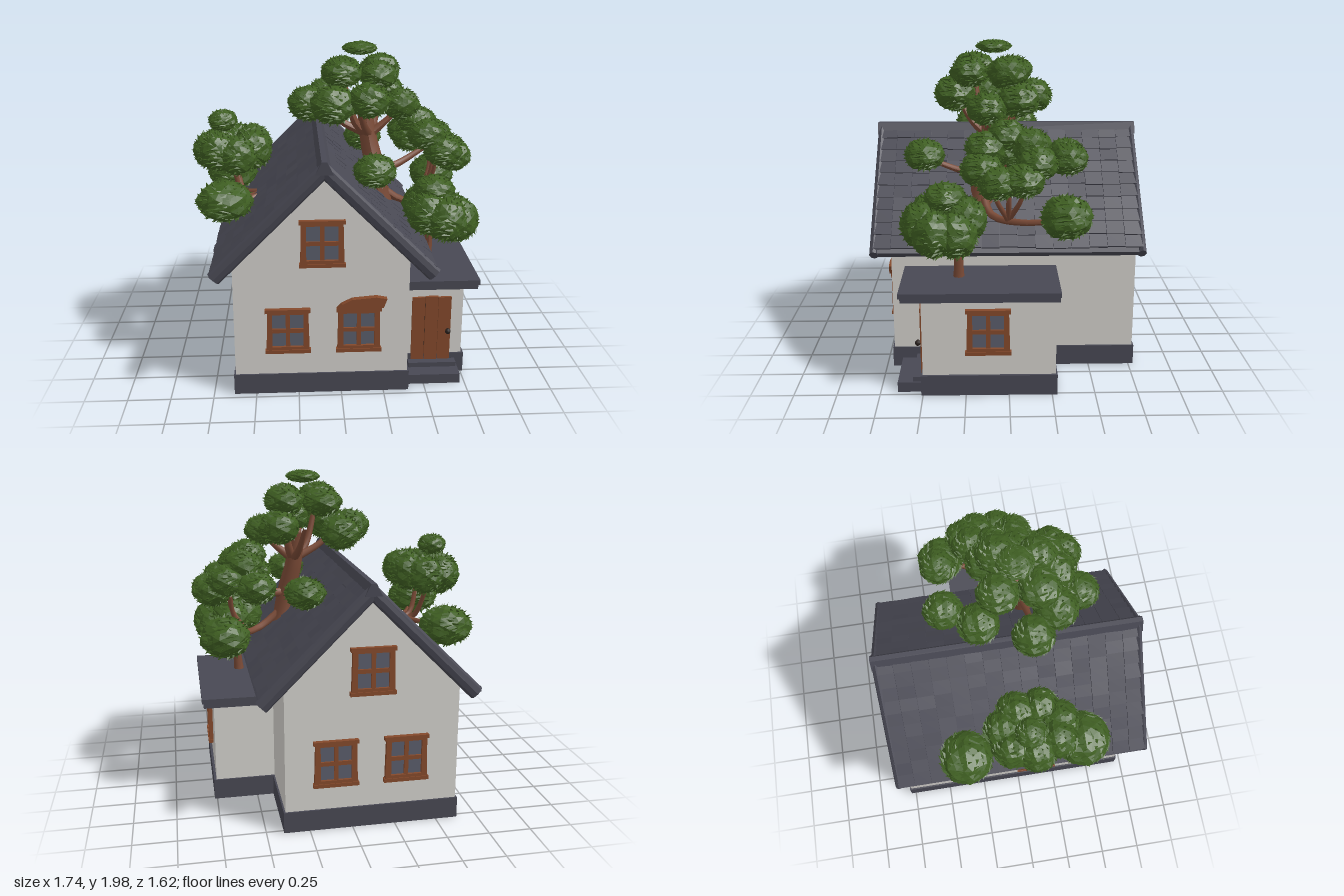
import * as THREE from 'three';
import { mergeGeometries } from 'three/addons/utils/BufferGeometryUtils.js';

let seed = 7;
const rnd = () => ((seed = (seed * 16807) % 2147483647) / 2147483647);
const jit = (a) => (rnd() - 0.5) * 2 * a;

const mat = (name, color, extra = {}) => {
  const m = new THREE.MeshStandardMaterial({ color, ...extra });
  m.name = name;
  return m;
};

export function createModel() {
  seed = 7;
  const plaster = mat('plaster', 0xd2d0cb);
  const slate = mat('slate', 0x484853, { flatShading: true });
  const wood = mat('wood', 0x84492b, { flatShading: true });
  const bark = mat('bark', 0x7a4a36);
  const glass = mat('glass', 0x5a5d6b);
  const leaf = mat('leaf', 0x3f5f22, { flatShading: true, side: THREE.DoubleSide });
  const iron = mat('iron', 0x2a211d);

  const house = new THREE.Group();
  house.name = 'cottage';

  const add = (parent, name, geo, material) => {
    const m = new THREE.Mesh(geo, material);
    m.name = name;
    parent.add(m);
    return m;
  };
  // box from its min and max corners
  const box = (parent, name, material, x0, x1, y0, y1, z0, z1) => {
    const m = add(parent, name, new THREE.BoxGeometry(x1 - x0, y1 - y0, z1 - z0), material);
    m.position.set((x0 + x1) / 2, (y0 + y1) / 2, (z0 + z1) / 2);
    return m;
  };
  const prism = (points, z0, z1) => {
    const s = new THREE.Shape(points.map(([x, y]) => new THREE.Vector2(x, y)));
    return new THREE.ExtrudeGeometry(s, { depth: z1 - z0, bevelEnabled: false }).translate(0, 0, z0);
  };

  // foundation, an L-shaped slab with a door step
  const plan = [[-0.63, -0.71], [0.4, -0.71], [0.4, -0.51], [0.765, -0.51], [0.765, 0.28], [0.4, 0.28], [0.4, 0.78], [-0.63, 0.78]];
  add(house, 'foundation', prism(plan, 0, 0.125).rotateX(-Math.PI / 2), slate);
  box(house, 'doorStep', slate, 0.41, 0.72, 0, 0.06, 0.5, 0.65);
  box(house, 'doorSill', slate, 0.42, 0.71, 0.06, 0.09, 0.5, 0.56);

  // walls
  add(house, 'mainWalls', prism([[-0.62, 0.1], [0.39, 0.1], [0.39, 0.88], [-0.1, 1.365], [-0.62, 0.85]], -0.77, 0.7), plaster);
  box(house, 'annexWalls', plaster, 0.38, 0.75, 0.1, 0.62, -0.27, 0.5);

  // main roof: chevron slab, ridge and rows of uneven shingles
  add(house, 'roofSlab', prism([[-0.7, 0.755], [-0.1, 1.345], [0.49, 0.755], [0.53, 0.79], [-0.1, 1.41], [-0.74, 0.79]], -0.8, 0.8), slate);
  add(house, 'ridge', prism([[-0.15, 1.37], [-0.05, 1.37], [-0.085, 1.44], [-0.115, 1.44]], -0.81, 0.81), slate);
  const shingles = [];
  for (const side of [-1, 1]) {
    const run = side < 0 ? 0.62 : 0.61;
    const rows = 10, cols = 15;
    for (let r = 0; r < rows; r++) {
      for (let c = 0; c < cols; c++) {
        const t = (r + 0.5) / rows;
        const g = new THREE.BoxGeometry(0.1 + jit(0.012), 0.012, 1.58 / cols - 0.002);
        g.rotateX(jit(0.03));
        g.rotateZ(-side * (0.775 - 0.07 + jit(0.04)));
        g.translate(-0.1 + side * (run * t + 0.008), 1.41 - 0.975 * run * t + 0.006, -0.79 + ((c + 0.5) * 1.58) / cols);
        shingles.push(g);
      }
    }
  }
  add(house, 'shingles', mergeGeometries(shingles), slate);
  // rounded barge boards along the gable edges
  for (const z of [-0.785, 0.785]) {
    for (const side of [-1, 1]) {
      const len = 0.88;
      const m = add(house, 'bargeBoard', new THREE.CylinderGeometry(0.04, 0.043, len, 8).scale(1, 1, 0.6), slate);
      m.position.set(-0.1 + side * 0.305, 1.085, z);
      m.rotation.z = side * 0.788;
    }
  }
  box(house, 'annexRoof', slate, 0.38, 0.81, 0.6, 0.64, -0.285, 0.61);
  box(house, 'annexRoofCap', slate, 0.37, 0.82, 0.63, 0.658, -0.29, 0.62);

  // windows: frame with a hole, cross bars, sill and glass, facing +z
  const makeWindow = (x, y, z, turn) => {
    const w = new THREE.Group();
    w.name = 'window';
    const s = new THREE.Shape([[-0.125, -0.135], [0.125, -0.135], [0.118, 0.135], [-0.118, 0.135]].map((p) => new THREE.Vector2(...p)));
    s.holes.push(new THREE.Path([[-0.09, -0.1], [-0.09, 0.105], [0.09, 0.105], [0.09, -0.1]].map((p) => new THREE.Vector2(...p))));
    add(w, 'frame', new THREE.ExtrudeGeometry(s, { depth: 0.025, bevelEnabled: false }), wood);
    box(w, 'mullion', wood, -0.012, 0.012, -0.11, 0.11, 0, 0.02);
    box(w, 'transom', wood, -0.1, 0.1, -0.012, 0.012, 0, 0.02);
    box(w, 'sill', wood, -0.132, 0.132, -0.14, -0.118, 0, 0.03);
    box(w, 'lintel', wood, -0.13, 0.13, 0.115, 0.137, 0, 0.028);
    box(w, 'pane', glass, -0.095, 0.095, -0.11, 0.11, 0.002, 0.008);
    w.position.set(x, y, z);
    w.rotation.y = turn;
    house.add(w);
  };
  for (const [z, turn] of [[0.7, 0], [-0.77, Math.PI]]) {
    makeWindow(-0.31, 0.41, z, turn);
    makeWindow(0.1, 0.41, z, turn);
    makeWindow(-0.11, 0.945, z, turn);
  }
  makeWindow(0.75, 0.4, 0.12, Math.PI / 2);
  makeWindow(-0.62, 0.4, 0.12, -Math.PI / 2);
  add(house, 'windowHood', prism([[-0.03, 0.545], [0.24, 0.55], [0.26, 0.605], [0.2, 0.617], [0.06, 0.605], [0.0, 0.575]], 0.69, 0.735), wood);

  // plank door
  for (let i = 0; i < 3; i++) {
    box(house, 'doorPlank', wood, 0.44 + i * 0.08, 0.517 + i * 0.08, 0.09, 0.51 - (i === 1 ? 0 : 0.005), 0.49, 0.515 + (i === 1 ? 0.004 : 0));
  }
  box(house, 'doorGap', iron, 0.445, 0.675, 0.1, 0.5, 0.498, 0.504);
  const knob = add(house, 'doorHandle', new THREE.SphereGeometry(0.018, 8, 6), iron);
  knob.position.set(0.66, 0.285, 0.53);

  // tapering limb along a curve
  const limb = (name, pts, r0, r1) => {
    const curve = new THREE.CatmullRomCurve3(pts.map((p) => new THREE.Vector3(...p)));
    const n = 10, sides = 8;
    const g = new THREE.TubeGeometry(curve, n, 1, sides, false);
    const p = g.attributes.position, v = new THREE.Vector3();
    for (let i = 0; i < p.count; i++) {
      const t = Math.floor(i / (sides + 1)) / n;
      const c = curve.getPointAt(t);
      v.fromBufferAttribute(p, i).sub(c).multiplyScalar(r0 + (r1 - r0) * Math.sqrt(t)).add(c);
      p.setXYZ(i, v.x, v.y, v.z);
    }
    g.computeVertexNormals();
    add(house, name, g, bark);
  };

  // leafy clump: lumpy ball covered with pointed, swept leaves
  const up = new THREE.Vector3(0, 1, 0);
  const clump = (x, y, z, rx, ry) => {
    const core = new THREE.IcosahedronGeometry(1, 3);
    core.deleteAttribute('uv');
    const p = core.attributes.position, v = new THREE.Vector3(), k = rnd() * 6;
    for (let i = 0; i < p.count; i++) {
      v.fromBufferAttribute(p, i);
      v.multiplyScalar(0.92 + 0.06 * Math.sin(6 * v.x + k) * Math.sin(7 * v.y + k) + 0.04 * Math.sin(9 * v.z + k));
      p.setXYZ(i, v.x, v.y, v.z);
    }
    const parts = [core];
    for (let i = 0; i < 150; i++) {
      const h = 1 - (2 * (i + 0.5)) / 150, a = i * 2.39996 + k, s = Math.sqrt(1 - h * h);
      const n = new THREE.Vector3(s * Math.cos(a), h, s * Math.sin(a));
      const dir = new THREE.Vector3(-n.z, jit(0.5), n.x).multiplyScalar(0.9 + jit(0.3)).addScaledVector(n, 0.35 + rnd() * 0.4).normalize();
      const g = new THREE.ConeGeometry(0.13, 0.42, 3, 1, true).toNonIndexed();
      g.deleteAttribute('uv');
      g.applyQuaternion(new THREE.Quaternion().setFromUnitVectors(up, dir));
      g.translate(n.x * 0.88, n.y * 0.88, n.z * 0.88);
      parts.push(g);
    }
    const g = mergeGeometries(parts).scale(rx, ry, rx);
    g.computeVertexNormals();
    add(house, 'foliage', g, leaf).position.set(x, y, z);
  };
  // ring of clumps, tilted about z
  const ring = (x, y, z, rad, radZ, tilt, n, rx, ry) => {
    for (let i = 0; i < n; i++) {
      const a = (i / n) * Math.PI * 2 + 0.4, q = Math.cos(a) * rad;
      clump(x + q * Math.cos(tilt), y + q * Math.sin(tilt) + jit(0.015), z + Math.sin(a) * radZ, rx, ry);
    }
  };

  // great tree rising through the roof
  limb('trunk', [[0.26, 1.0, 0.15], [0.24, 1.2, 0.15], [0.2, 1.38, 0.12], [0.17, 1.6, 0.1]], 0.085, 0.045);
  const top = [0.2, 1.42, 0.12];
  for (const e of [[-0.12, 1.63, 0.15], [0.4, 1.6, 0.1], [0.12, 1.65, 0.3], [0.16, 1.65, -0.14], [0.03, 1.8, 0.2], [0.27, 1.8, 0]]) {
    limb('branch', [top, [(top[0] + e[0]) / 2, 1.5, (top[2] + e[2]) / 2], e], 0.035, 0.014);
  }
  limb('branch', [[0.24, 1.18, 0.15], [0.22, 1.22, 0.32], [0.2, 1.28, 0.48]], 0.03, 0.014);
  limb('branch', [[0.24, 1.18, 0.15], [0.22, 1.22, -0.1], [0.2, 1.28, -0.33]], 0.03, 0.014);
  limb('branch', [[0.25, 1.2, 0.15], [0.38, 1.22, 0.08], [0.6, 1.33, 0]], 0.035, 0.015);
  const crown = [
    [0.14, 1.94, 0.08, 0.11, 0.04], [0.03, 1.81, 0.2, 0.13, 0.09], [0.27, 1.8, 0, 0.13, 0.1], [0.24, 1.8, 0.22, 0.12, 0.09], [0.04, 1.79, -0.03, 0.13, 0.09],
    [-0.17, 1.62, 0.14, 0.13, 0.11], [-0.03, 1.64, 0.29, 0.14, 0.12], [0.18, 1.67, 0.31, 0.13, 0.11], [0.39, 1.61, 0.12, 0.12, 0.1],
    [0.31, 1.65, -0.06, 0.13, 0.11], [-0.05, 1.62, -0.16, 0.13, 0.11], [0.2, 1.3, 0.5, 0.13, 0.1], [0.2, 1.3, -0.35, 0.13, 0.1],
  ];
  crown.forEach((c) => clump(...c));

  // side crown over the annex, with a lower clump
  ring(0.62, 1.36, 0, 0.16, 0.16, -0.75, 7, 0.125, 0.1);
  clump(0.46, 1.37, 0.0, 0.11, 0.09);
  clump(0.48, 1.34, -0.34, 0.12, 0.1);
  clump(0.67, 1.05, -0.32, 0.155, 0.13);
  limb('branch', [[0.26, 1.1, 0.15], [0.42, 0.99, 0.1], [0.58, 0.99, -0.08], [0.66, 1.03, -0.3]], 0.03, 0.016);
  for (const z of [-0.13, 0, 0.13]) limb('branch', [[0.52, 0.99, 0], [0.6, 1.12, z * 0.5], [0.62, 1.32, z]], 0.022, 0.01);

  // small tree on the annex roof
  limb('smallTrunk', [[0.55, 0.64, 0.29], [0.56, 0.8, 0.29], [0.57, 1.1, 0.32]], 0.035, 0.018);
  ring(0.61, 1.0, 0.37, 0.11, 0.12, -0.35, 6, 0.135, 0.14);
  clump(0.57, 1.14, 0.36, 0.13, 0.09);

  // crown over the opposite eave
  ring(-0.63, 1.33, 0.06, 0.13, 0.17, 0, 7, 0.125, 0.125);
  clump(-0.69, 1.5, 0.04, 0.095, 0.07);
  clump(-0.67, 1.06, -0.34, 0.17, 0.125);
  clump(-0.67, 1.09, 0.37, 0.175, 0.125);
  for (const z of [-0.32, -0.1, 0.15, 0.35]) {
    const y = Math.abs(z) > 0.2 ? 1.05 : 1.3;
    limb('branch', [[-0.42, 1.05, 0.06], [-0.56, 1.02, 0.06 + z * 0.3], [-0.64, y, z]], 0.026, 0.012);
  }
  return house;
}
